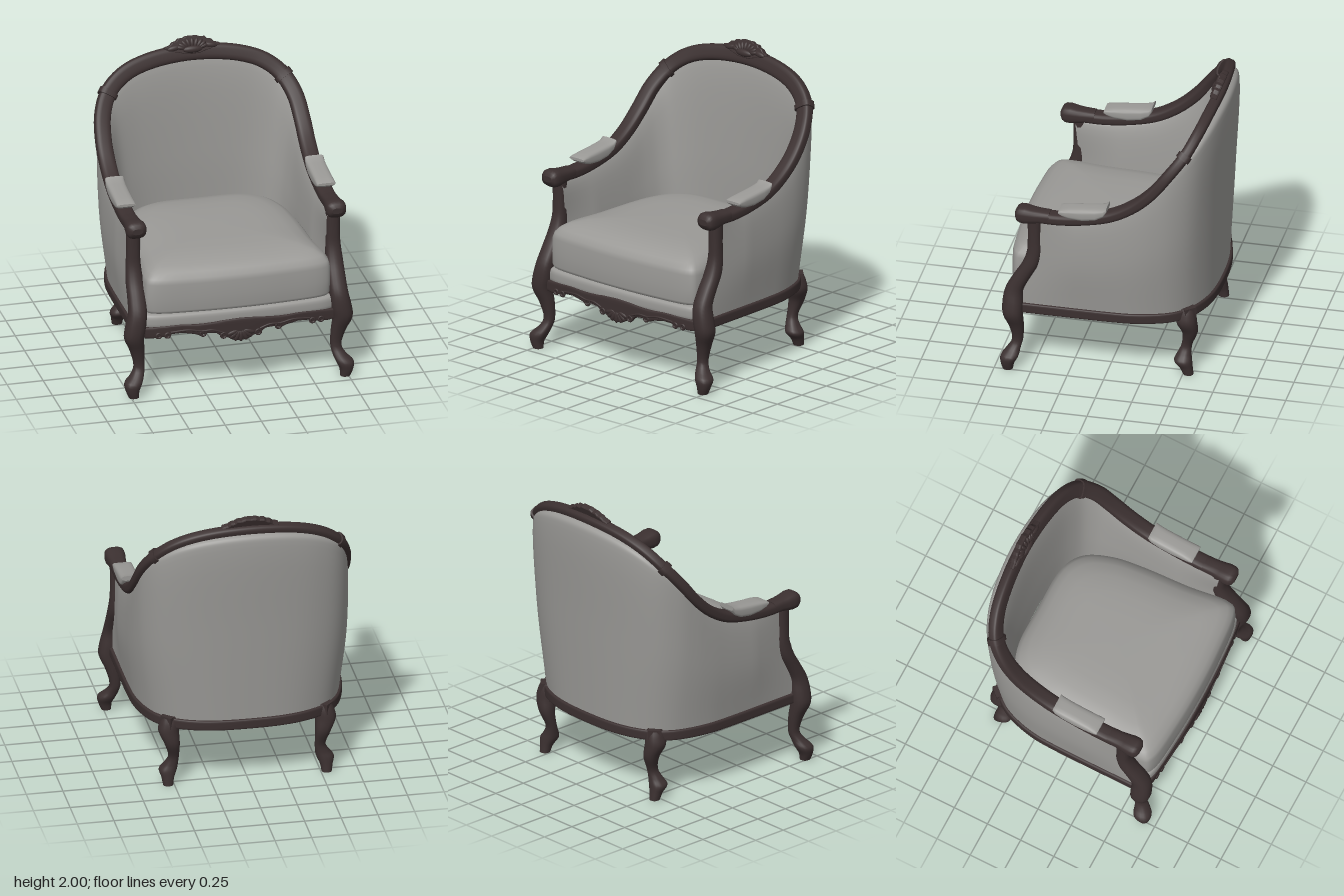
import * as THREE from 'three';

const wood = new THREE.MeshStandardMaterial({ color: 0x3b3030 });
wood.name = 'dark wood';
const fabric = new THREE.MeshStandardMaterial({ color: 0x9a9996, side: THREE.DoubleSide });
fabric.name = 'grey fabric';

const V = (x, y, z) => new THREE.Vector3(x, y, z);
const smooth = (pts, closed = false) => new THREE.CatmullRomCurve3(pts, closed, 'centripetal');
// Points given for the +x half, ending on the centre line, completed by mirroring.
const mirrored = (half) => [...half, ...half.slice(0, -1).reverse().map((p) => V(-p.x, p.y, p.z))];

// Skin over rings of points; closed rings get end caps and are turned outward.
function loft(rings, closed = true) {
  const n = rings[0].length, pos = [], idx = [];
  rings.forEach((r) => r.forEach((p) => pos.push(p.x, p.y, p.z)));
  const m = closed ? n : n - 1;
  for (let i = 0; i < rings.length - 1; i++) {
    for (let j = 0; j < m; j++) {
      const a = i * n + j, b = i * n + (j + 1) % n;
      idx.push(a, b, a + n, b, b + n, a + n);
    }
  }
  if (closed) {
    [rings[0], rings[rings.length - 1]].forEach((ring, end) => {
      const c = V(0, 0, 0), first = pos.length / 3;
      ring.forEach((p) => { c.addScaledVector(p, 1 / n); pos.push(p.x, p.y, p.z); });
      pos.push(c.x, c.y, c.z);
      for (let j = 0; j < n; j++) {
        const a = first + j, b = first + (j + 1) % n;
        idx.push(...(end ? [a, b, first + n] : [b, a, first + n]));
      }
    });
    let volume = 0;
    const at = (i) => V(pos[3 * i], pos[3 * i + 1], pos[3 * i + 2]);
    for (let i = 0; i < idx.length; i += 3) volume += at(idx[i]).dot(at(idx[i + 1]).cross(at(idx[i + 2])));
    if (volume < 0) idx.reverse();
  }
  const g = new THREE.BufferGeometry();
  g.setAttribute('position', new THREE.Float32BufferAttribute(pos, 3));
  g.setIndex(idx);
  g.computeVertexNormals();
  return g;
}

// Rounded-box section with half sizes a, b; place maps section coordinates to space.
function section(a, b, power, place, n = 20) {
  const f = (v) => Math.sign(v) * Math.abs(v) ** (2 / power);
  return Array.from({ length: n }, (_, i) => {
    const t = (i + 0.5) / n * Math.PI * 2;
    return place(a * f(Math.cos(t)), b * f(Math.sin(t)));
  });
}

function sweep(curve, outward, a, b, power, u0 = 0, u1 = 1, n = 90) {
  const rings = [];
  for (let i = 0; i <= n; i++) {
    const u = u0 + (u1 - u0) * i / n, p = curve.getPoint(u), t = curve.getTangent(u);
    const w = outward(p, t);
    w.addScaledVector(t, -w.dot(t)).normalize();
    const k = t.clone().cross(w);
    rings.push(section(a, b, power, (x, y) => p.clone().addScaledVector(w, x).addScaledVector(k, y)));
  }
  return loft(rings);
}

// Top rail line and matching base line, column by column.
const railCurve = smooth(mirrored([
  V(0.69, 1.18, 0.52), V(0.69, 1.175, 0.32), V(0.69, 1.2, 0.12), V(0.69, 1.247, -0.05), V(0.69, 1.335, -0.2),
  V(0.687, 1.445, -0.32), V(0.665, 1.585, -0.43), V(0.6, 1.705, -0.522), V(0.48, 1.8, -0.578), V(0.3, 1.86, -0.612), V(0, 1.887, -0.632)]));
const baseCurve = smooth(mirrored([
  V(0.69, 0.465, 0.6), V(0.69, 0.465, 0.37), V(0.69, 0.465, 0.12), V(0.688, 0.465, -0.03), V(0.68, 0.465, -0.17),
  V(0.65, 0.465, -0.31), V(0.6, 0.465, -0.43), V(0.52, 0.465, -0.52), V(0.4, 0.465, -0.585), V(0.25, 0.465, -0.625), V(0, 0.465, -0.64)]));
const railOut = (p) => {
  const rise = Math.max(0, p.y - 1.35);
  return V(p.x, rise, -0.35 * rise).normalize();
};
const baseOut = (p, t) => V(-t.z, 0, t.x).normalize();

// Upholstered wall: each column rises outside, rolls under the rail and drops inside to the cushion.
function shellGeometry() {
  const cols = [];
  for (let i = 0; i <= 100; i++) {
    const u = i / 100, R = railCurve.getPoint(u), B = baseCurve.getPoint(u).setY(0.49);
    const O = baseOut(B, baseCurve.getTangent(u)), back = Math.max(0, -O.z) ** 4;
    const edge = Math.max(0, 1 - Math.min(u, 1 - u) / 0.08), inner = 0.1 - 0.055 * edge;
    const at = (k, off) => {
      const p = B.clone().lerp(R, k).addScaledVector(O, off);
      p.z -= edge * 0.07 * Math.sin(Math.PI * k);
      return p;
    };
    cols.push(smooth([at(0, 0.015), at(0.5, 0.052 - 0.034 * edge), at(0.94, (0.036 + 0.044 * back) * (1 - 0.6 * edge)),
      at(0.99, 0.02 + 0.045 * back), at(1, 0), at(0.93, -0.04), at(0.5, -inner * 0.9), at(0.2, -inner)]).getPoints(42));
  }
  return loft(cols, false);
}

// Seat outline seen from above, stacked as [height, scale] levels.
const seatPlan = mirrored([V(0, 0, -0.53), V(0.35, 0, -0.515), V(0.48, 0, -0.43), V(0.56, 0, -0.25), V(0.59, 0, -0.05),
  V(0.61, 0, 0.3), V(0.635, 0, 0.615), V(0.59, 0, 0.655), V(0.3, 0, 0.69), V(0, 0, 0.7)]);
const seatCurve = smooth(seatPlan.slice(0, -1), true);
const seat = (levels) => loft(levels.map(([y, s]) =>
  Array.from({ length: 96 }, (_, i) => seatCurve.getPoint(i / 96)).map((p) => V(p.x * s, y, 0.08 + (p.z - 0.08) * s))));

// Curved leg through [x, y, z, radius] stations.
function leg(stations, side) {
  const path = smooth(stations.map(([x, y, z]) => V(x * side, y, z)));
  const radius = smooth(stations.map(([, y, , r]) => V(r, y, 0)));
  return loft(Array.from({ length: 49 }, (_, i) => {
    const p = path.getPoint(i / 48), r = radius.getPoint(i / 48).x;
    return section(r, r, 2.3, (x, z) => V(p.x + x, p.y, p.z + z), 16);
  }));
}
const frontLeg = [[0.69, 1.17, 0.485, 0.048], [0.69, 1, 0.485, 0.046], [0.69, 0.9, 0.487, 0.05], [0.69, 0.8, 0.515, 0.058],
  [0.69, 0.7, 0.572, 0.061], [0.695, 0.6, 0.622, 0.063], [0.71, 0.5, 0.63, 0.07], [0.72, 0.42, 0.628, 0.067],
  [0.695, 0.32, 0.61, 0.05], [0.68, 0.2, 0.605, 0.037], [0.7, 0.145, 0.628, 0.047], [0.73, 0.1, 0.648, 0.06],
  [0.738, 0.05, 0.66, 0.046], [0.73, 0, 0.66, 0.034]];
const backLeg = [[0.525, 0.51, -0.515, 0.05], [0.53, 0.46, -0.518, 0.064], [0.535, 0.4, -0.522, 0.069], [0.515, 0.31, -0.54, 0.052],
  [0.5, 0.2, -0.515, 0.036], [0.515, 0.145, -0.502, 0.047], [0.535, 0.1, -0.497, 0.06], [0.54, 0.05, -0.52, 0.043], [0.54, 0, -0.535, 0.034]];

// Bar along z through [z, bottom, top, half width] stations, centred on the arm.
const armBar = (stations, side, power) => loft(stations.map(([z, lo, hi, w]) =>
  section(w, (hi - lo) / 2, power, (x, y) => V(0.69 * side + x, (lo + hi) / 2 + y, z))));
const armScroll = [[0.38, 1.14, 1.22, 0.056], [0.45, 1.133, 1.226, 0.057], [0.5, 1.127, 1.232, 0.063], [0.545, 1.12, 1.243, 0.069],
  [0.58, 1.124, 1.243, 0.068], [0.602, 1.14, 1.23, 0.058], [0.614, 1.165, 1.205, 0.035]];
const armPad = [[0.312, 1.24, 1.258, 0.064], [0.29, 1.222, 1.268, 0.066], [0.24, 1.203, 1.278, 0.066], [0.15, 1.195, 1.288, 0.066],
  [0.06, 1.21, 1.298, 0.066], [0.005, 1.245, 1.305, 0.066], [-0.018, 1.285, 1.32, 0.064]];

// Apron depth bows forward in the middle; stations are [x, top, bottom].
const bow = (x) => 0.688 - 0.045 * (x / 0.64) ** 2;
const apronHalf = [[0.65, 0.495, 0.42], [0.6, 0.496, 0.415], [0.55, 0.5, 0.425], [0.5, 0.502, 0.42], [0.47, 0.504, 0.44],
  [0.4, 0.505, 0.445], [0.32, 0.5, 0.43], [0.28, 0.5, 0.415], [0.24, 0.501, 0.43], [0.17, 0.506, 0.425], [0.14, 0.51, 0.4],
  [0.125, 0.512, 0.382], [0.105, 0.513, 0.39], [0.085, 0.514, 0.38], [0.05, 0.516, 0.36], [0, 0.518, 0.352]];
function apronGeometry() {
  const all = [...apronHalf, ...apronHalf.slice(0, -1).reverse().map(([x, t, b]) => [-x, t, b])];
  return loft(all.map(([x, top, low]) =>
    section((top - low) / 2, 0.02, 5, (y, z) => V(x, (top + low) / 2 + y, bow(x) + z))));
}

// Bevelled crest plate; upper and lower edges as [x, y] from centre outward.
function crestGeometry() {
  const upper = [[0, 0.06], [0.035, 0.062], [0.06, 0.05], [0.09, 0.05], [0.105, 0.034], [0.13, 0.03], [0.15, 0.01], [0.185, 0]];
  const lower = [[0, -0.05], [0.05, -0.048], [0.09, -0.035], [0.12, -0.03], [0.15, -0.015], [0.185, -0.006]];
  const right = [...upper, ...lower.reverse()];
  const pts = [...right, ...right.slice(1, -1).reverse().map(([x, y]) => [-x, y])].map(([x, y]) => new THREE.Vector2(x, y));
  return new THREE.ExtrudeGeometry(new THREE.Shape(pts),
    { depth: 0.02, bevelThickness: 0.012, bevelSize: 0.006, bevelSegments: 2 }).translate(0, 0, -0.01);
}

export function createModel() {
  const model = new THREE.Group();
  const add = (name, geometry, material = wood, parent = model) => {
    const mesh = new THREE.Mesh(geometry, material);
    mesh.name = name;
    parent.add(mesh);
    return mesh;
  };
  const blob = (name, p, s, parent) => {
    const m = add(name, new THREE.SphereGeometry(1, 20, 14), wood, parent);
    m.position.set(...p);
    m.scale.set(...s);
    return m;
  };

  // Upholstery
  add('upholsteredShell', shellGeometry(), fabric);
  const deckCurve = smooth(mirrored([V(0.635, 0.53, 0.605), V(0.57, 0.53, 0.625), V(0.3, 0.53, 0.647), V(0, 0.53, 0.655)]));
  add('seatFrontRoll', sweep(deckCurve, () => V(0, 1, 0), 0.052, 0.04, 3), fabric);
  add('seatCushion', seat([[0.58, 0.95], [0.59, 0.985], [0.61, 1], [0.7, 1.004], [0.8, 1], [0.835, 0.985],
    [0.87, 0.94], [0.9, 0.86], [0.925, 0.72], [0.936, 0.53], [0.94, 0.3], [0.94, 0.02]]), fabric);

  // Frame
  add('topRail', sweep(railCurve, railOut, 0.056, 0.039, 3.2, 0, 1, 140));
  add('baseRail', sweep(baseCurve, baseOut, 0.034, 0.036, 6));

  for (const s of [1, -1]) {
    add('frontLeg', leg(frontLeg, s));
    add('backLeg', leg(backLeg, s));
    const block = add('backLegBlock', new THREE.BoxGeometry(0.1, 0.08, 0.085));
    block.position.set(0.525 * s, 0.472, -0.522);
    block.rotation.y = s * 0.75;
    add('armScroll', armBar(armScroll, s, 2.8));
    add('armPad', armBar(armPad, s, 3.5), fabric);
    const u = s > 0 ? 0.347 : 0.653;
    add('railCollar', sweep(railCurve, railOut, 0.066, 0.05, 3.2, u - 0.006, u + 0.006, 4));
  }

  // Scalloped front apron with carving
  add('frontApron', apronGeometry());
  const ornament = new THREE.Group();
  ornament.name = 'apronCarving';
  model.add(ornament);
  for (let i = -3; i <= 3; i++) {
    const a = i * 0.42;
    blob('shellLobe', [Math.sin(a) * 0.06, 0.43 - Math.cos(a) * 0.042, 0.703], [0.016, 0.04, 0.012], ornament).rotation.z = a;
  }
  for (const s of [1, -1]) {
    for (const [x, y, r] of [[0.12, 0.405, 0.018], [0.26, 0.432, 0.018], [0.5, 0.435, 0.016], [0.56, 0.435, 0.016]]) {
      const scroll = add('apronScroll', new THREE.TorusGeometry(r, 0.008, 8, 20), wood, ornament);
      scroll.position.set(s * x, y, bow(x) + 0.017);
    }
    const vine = smooth([[0.13, 0.43], [0.2, 0.452], [0.27, 0.45], [0.36, 0.465], [0.48, 0.456]]
      .map(([x, y]) => V(s * x, y, bow(x) + 0.019)));
    add('apronVine', new THREE.TubeGeometry(vine, 24, 0.007, 8), wood, ornament);
  }

  // Carved crest leaning back on the top rail
  const crest = new THREE.Group();
  crest.name = 'crest';
  crest.position.set(0, 1.935, -0.627);
  crest.rotation.x = -0.35;
  model.add(crest);
  add('crestPlate', crestGeometry(), wood, crest);
  for (let i = -4; i <= 4; i++) {
    const a = i * 0.33;
    blob('crestLobe', [Math.sin(a) * 0.08, Math.cos(a) * 0.036 - 0.016, 0.02], [0.015, 0.034, 0.015], crest).rotation.z = -a;
  }
  blob('crestHeart', [0, -0.022, 0.02], [0.07, 0.026, 0.024], crest);
  for (const s of [1, -1]) blob('crestLeaf', [s * 0.125, -0.005, 0.014], [0.05, 0.02, 0.018], crest).rotation.z = -s * 0.15;
  return model;
}
